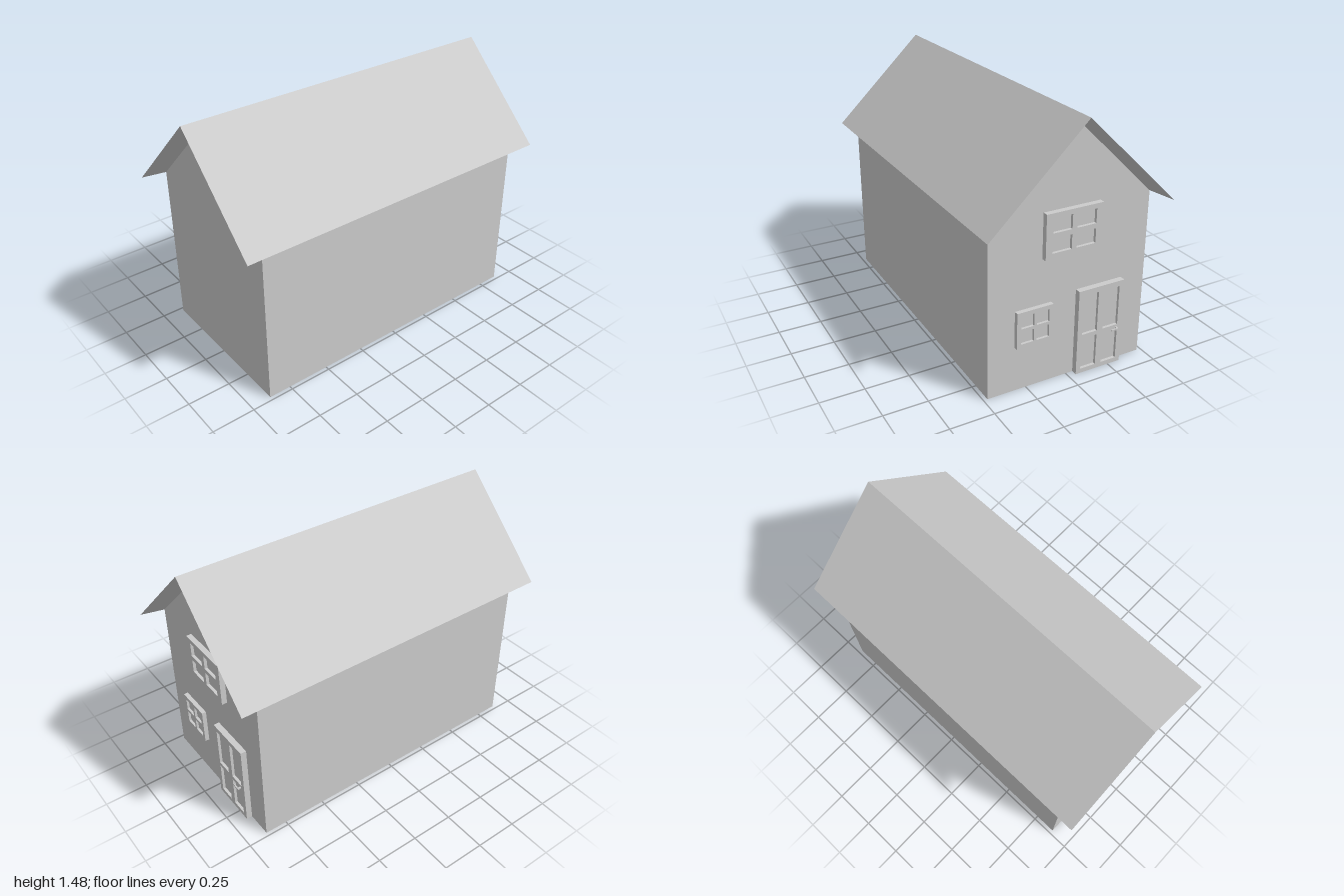
import * as THREE from 'three';

const material = new THREE.MeshStandardMaterial({ color: 0xcccccc, flatShading: true });
const WALL_X = 0.88;

function addMesh(parent, name, geometry) {
  const mesh = new THREE.Mesh(geometry, material);
  mesh.name = name;
  parent.add(mesh);
  return mesh;
}

function trace(target, points) {
  target.setFromPoints(points.map(([x, y]) => new THREE.Vector2(x, y)));
  return target;
}

// Outline drawn in (-z, y) and extruded along +x, starting at x.
function extrudeAlongX(shape, x, depth) {
  return new THREE.ExtrudeGeometry(shape, { depth, bevelEnabled: false })
    .rotateY(Math.PI / 2)
    .translate(x, 0, 0);
}

// Roof sheet, with sloping soffits running from its rim in to the wall tops.
function roofGeometry() {
  const rim = [[0.953, 0.54], [1.475, 0], [0.953, -0.54]];
  const wall = [[0.975, 0.477], [1.44, 0], [0.975, -0.477]];
  const R = (end, i) => [end, ...rim[i]];
  const W = (end, i) => [end * WALL_X, ...wall[i]];
  const positions = [];
  const quad = (a, b, c, d) => positions.push(...a, ...b, ...c, ...a, ...c, ...d);

  for (const i of [0, 1]) {
    // Outer slope, then the soffits at both gables
    quad(R(1, i), R(1, i + 1), R(-1, i + 1), R(-1, i));
    quad(R(1, i), W(1, i), W(1, i + 1), R(1, i + 1));
    quad(R(-1, i + 1), W(-1, i + 1), W(-1, i), R(-1, i));
  }
  // Soffits under the long eaves
  quad(R(1, 0), R(-1, 0), W(-1, 0), W(1, 0));
  quad(R(-1, 2), R(1, 2), W(1, 2), W(-1, 2));

  const geometry = new THREE.BufferGeometry();
  geometry.setAttribute('position', new THREE.Float32BufferAttribute(positions, 3));
  geometry.computeVertexNormals();
  return geometry;
}

// Framed panel on the +x wall; columns and rows are the ranges of its openings.
function framedPanel(name, [u0, u1], [y0, y1], columns, rows, depth, backDepth) {
  const group = new THREE.Group();
  group.name = name;
  const rect = ([a, b], [c, d]) => [[a, c], [b, c], [b, d], [a, d]];
  const shape = trace(new THREE.Shape(), rect([u0, u1], [y0, y1]));
  for (const c of columns) {
    for (const r of rows) {
      shape.holes.push(trace(new THREE.Path(), rect(c, r)));
      const pane = addMesh(group, name + 'Pane',
        new THREE.BoxGeometry(backDepth, r[1] - r[0], c[1] - c[0]));
      pane.position.set(WALL_X + backDepth / 2, (r[0] + r[1]) / 2, -(c[0] + c[1]) / 2);
    }
  }
  addMesh(group, name + 'Frame', extrudeAlongX(shape, WALL_X, depth));
  return group;
}

export function createModel() {
  const house = new THREE.Group();
  house.name = 'house';

  // Gabled walls
  const gable = trace(new THREE.Shape(),
    [[-0.477, 0], [0.477, 0], [0.477, 0.975], [0, 1.44], [-0.477, 0.975]]);
  addMesh(house, 'walls', extrudeAlongX(gable, -WALL_X, 2 * WALL_X));
  addMesh(house, 'roof', roofGeometry());

  // Windows and door on the +x gable
  house.add(framedPanel('upperWindow', [-0.168, 0.167], [0.734, 0.986],
    [[-0.129, -0.016], [0.012, 0.127]], [[0.767, 0.849], [0.877, 0.959]], 0.031, 0.014));
  house.add(framedPanel('lowerWindow', [-0.321, -0.108], [0.264, 0.474],
    [[-0.297, -0.221], [-0.204, -0.131]], [[0.288, 0.36], [0.378, 0.45]], 0.025, 0.011));
  const door = framedPanel('door', [0.043, 0.327], [0, 0.505],
    [[0.07, 0.166], [0.204, 0.299]], [[0.027, 0.215], [0.239, 0.474]], 0.034, 0.018);
  house.add(door);

  // Door handle: a stem and a lever
  const stem = addMesh(door, 'handleStem', new THREE.BoxGeometry(0.02, 0.009, 0.009));
  stem.position.set(0.922, 0.222, -0.29);
  const lever = addMesh(door, 'handleLever', new THREE.BoxGeometry(0.007, 0.009, 0.043));
  lever.position.set(0.932, 0.222, -0.2735);

  return house;
}
